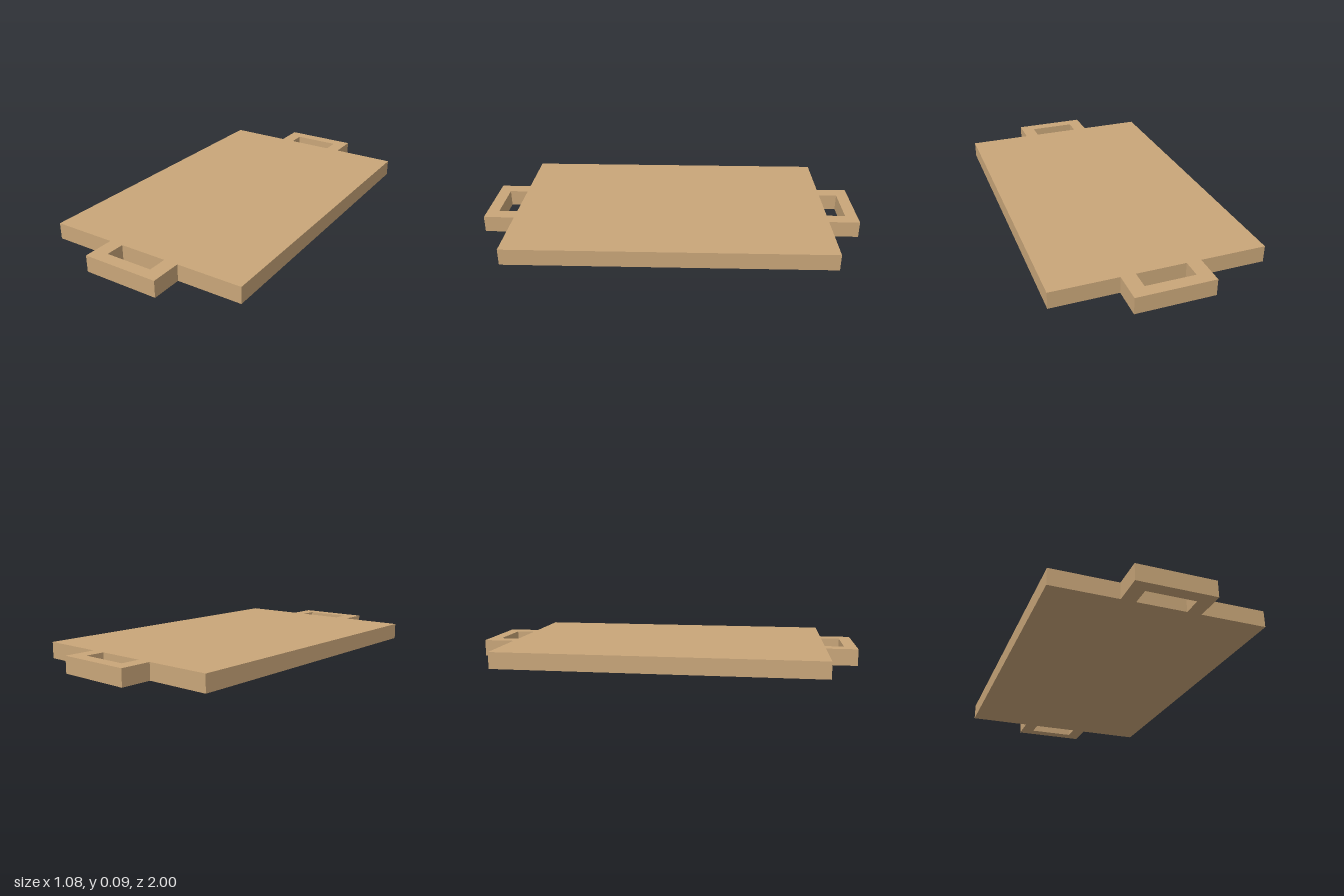
import * as THREE from 'three';

const THICKNESS = 0.086;
const BOARD_X = 0.54, BOARD_Z = 0.838;   // half sizes of the main slab
const HANDLE_X = 0.2, HANDLE_Z = 1;      // half width and reach of the handles
const SLOT_X = 0.126, SLOT_Z = 0.936;    // half width and outer edge of the grip slots

const points = (list) => list.map(([x, y]) => new THREE.Vector2(x, y));

export function createModel() {
  const group = new THREE.Group();
  group.name = 'servingBoard';

  const wood = new THREE.MeshStandardMaterial({ color: 0xc9a679 });
  wood.name = 'light wood';

  // Outline: slab with a handle tab at each end
  const outline = new THREE.Shape(points([
    [-BOARD_X, -BOARD_Z], [-HANDLE_X, -BOARD_Z], [-HANDLE_X, -HANDLE_Z],
    [HANDLE_X, -HANDLE_Z], [HANDLE_X, -BOARD_Z], [BOARD_X, -BOARD_Z],
    [BOARD_X, BOARD_Z], [HANDLE_X, BOARD_Z], [HANDLE_X, HANDLE_Z],
    [-HANDLE_X, HANDLE_Z], [-HANDLE_X, BOARD_Z], [-BOARD_X, BOARD_Z],
  ]));

  // Grip slots, one through each handle
  for (const s of [1, -1]) {
    outline.holes.push(new THREE.Path(points([
      [-SLOT_X, s * BOARD_Z], [-SLOT_X, s * SLOT_Z],
      [SLOT_X, s * SLOT_Z], [SLOT_X, s * BOARD_Z],
    ])));
  }

  // Lay the extrusion flat, standing on y = 0
  const geometry = new THREE.ExtrudeGeometry(outline, { depth: THICKNESS, bevelEnabled: false });
  geometry.rotateX(-Math.PI / 2);

  const board = new THREE.Mesh(geometry, wood);
  board.name = 'boardWithHandles';
  group.add(board);
  return group;
}
